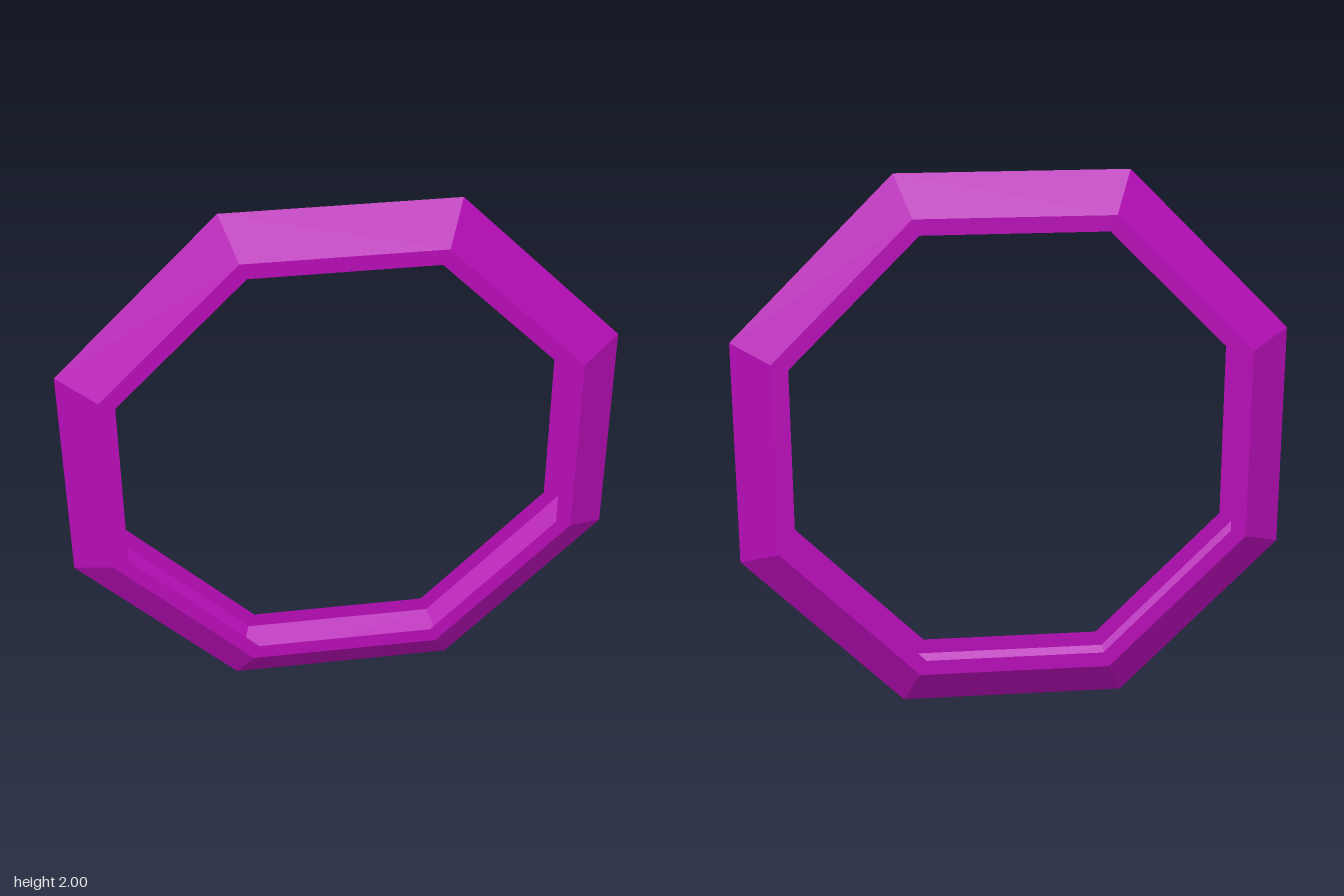
import * as THREE from 'three';

const SIDES = 8;
const APOTHEM_TO_RADIUS = 1 / Math.cos(Math.PI / SIDES);

export function createModel() {
  const group = new THREE.Group();
  group.name = 'octagonalRing';

  // Cross-section as [apothem, depth]: two flat lips joined by an outer V, open on the inside
  const profile = [
    [0.8, -0.095],
    [0.857, -0.095],
    [1, 0],
    [0.857, 0.095],
    [0.8, 0.095],
  ].map(([a, d]) => new THREE.Vector2(a * APOTHEM_TO_RADIUS, d));

  // Eight-sided sweep, turned upright with a flat side at the bottom
  const geometry = new THREE.LatheGeometry(profile, SIDES, Math.PI / SIDES);
  geometry.rotateX(Math.PI / 2);
  geometry.translate(0, 1, 0);

  const material = new THREE.MeshStandardMaterial({
    color: 0xb80db8,
    flatShading: true,
    side: THREE.DoubleSide,
  });
  const frame = new THREE.Mesh(geometry, material);
  frame.name = 'ringFrame';
  group.add(frame);
  return group;
}
